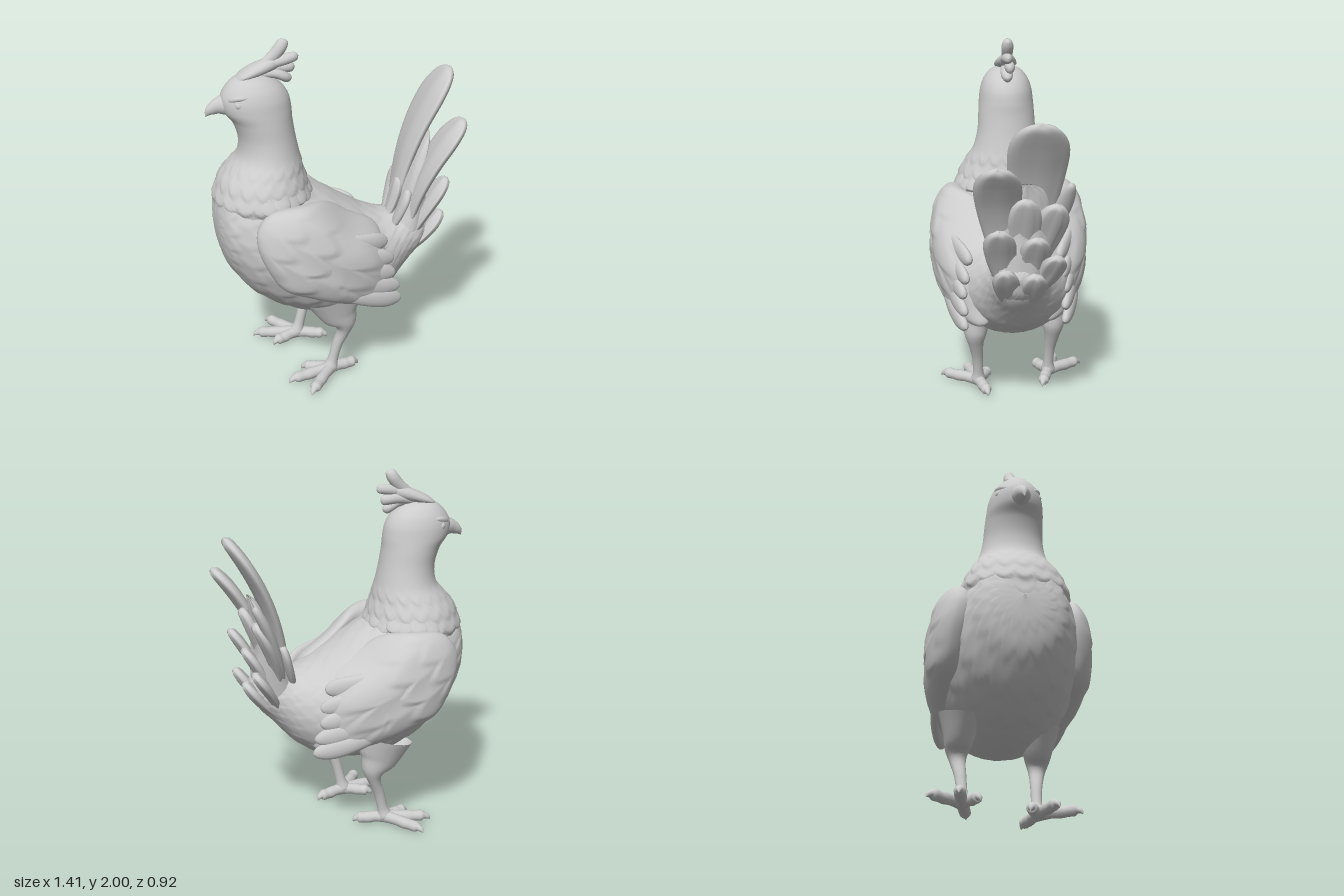
import * as THREE from 'three';

const material = new THREE.MeshStandardMaterial({ color: 0xcccccc, side: THREE.DoubleSide });
const V = (a) => new THREE.Vector3(...a);
const { smoothstep } = THREE.MathUtils;

function makeMesh(name, positions, index) {
  const g = new THREE.BufferGeometry();
  g.setAttribute('position', new THREE.Float32BufferAttribute(positions, 3));
  g.setIndex(index);
  g.computeVertexNormals();
  const mesh = new THREE.Mesh(g, material);
  mesh.name = name;
  return mesh;
}

// Index of a grid of closed rings
function ringIndex(rings, sides) {
  const index = [];
  for (let i = 0; i < rings; i++) {
    for (let j = 0; j < sides; j++) {
      const k = (j + 1) % sides, a = i * sides + j, b = i * sides + k;
      index.push(a, b, a + sides, b, b + sides, a + sides);
    }
  }
  return index;
}

// Smooth skin over elliptical sections [x, y, z, radius along N, radius along S]
function loft(name, rows, { S = [0, 0, 1], N = null, rings = 28, sides = 18, bump = null } = {}) {
  const path = new THREE.CatmullRomCurve3(rows.map((r) => V(r.slice(0, 3))), false, 'catmullrom');
  const size = new THREE.CatmullRomCurve3(rows.map((r) => V([r[3], r[4], 0])), false, 'catmullrom');
  const pos = [];
  for (let i = 0; i <= rings; i++) {
    const t = i / rings, c = path.getPoint(t), r = size.getPoint(t);
    const s = V(S), n = new THREE.Vector3();
    if (N) n.copy(V(N));
    else {
      const T = path.getTangent(t);
      s.addScaledVector(T, -s.dot(T)).normalize();
      n.crossVectors(s, T);
    }
    for (let j = 0; j < sides; j++) {
      const a = (j / sides) * Math.PI * 2;
      const d = n.clone().multiplyScalar(Math.cos(a) * Math.max(r.x, 0.0005))
        .addScaledVector(s, Math.sin(a) * Math.max(r.y, 0.0005));
      const p = c.clone().add(d);
      if (bump) p.addScaledVector(d.normalize(), bump(p, t, a));
      pos.push(p.x, p.y, p.z);
    }
  }
  return makeMesh(name, pos, ringIndex(rings, sides));
}

// Shingled feather relief, 0..1, tips pointing along +u
function shingle(u, v) {
  const q = u - 0.45 * Math.abs(Math.cos(Math.PI * v));
  const f = q - Math.floor(q);
  return f < 0.75 ? f / 0.75 : (1 - f) / 0.25;
}

// Round-ended feather bent through three points
function feather(name, base, mid, tip, width, thick, S = [0, 0, 1]) {
  const curve = new THREE.QuadraticBezierCurve3(V(base), V(mid), V(tip));
  const shape = [[0, 0.4], [0.2, 0.6], [0.4, 0.8], [0.6, 0.95], [0.78, 1], [0.9, 0.8], [0.97, 0.45], [1, 0]];
  const rows = shape.map(([t, w]) => {
    const p = curve.getPoint(t);
    return [p.x, p.y, p.z, thick * Math.sqrt(w), width * w];
  });
  return loft(name, rows, { S, rings: 26, sides: 20, bump: (p, t, a) => 0.006 * Math.sin(a * 6) * Math.sin(t * Math.PI) * (width > 0.06 ? 1 : 0) });
}

// Mirrored copy on the other side, shifted a little
function mirrored(group, name, dx, dz) {
  const copy = new THREE.Group();
  copy.name = name;
  for (const m of group.children) {
    const g = m.geometry.clone().scale(1, 1, -1);
    const ix = g.index.array;
    for (let i = 0; i < ix.length; i += 3) [ix[i], ix[i + 1]] = [ix[i + 1], ix[i]];
    g.translate(dx, 0, dz);
    g.computeVertexNormals();
    const c = new THREE.Mesh(g, material);
    c.name = m.name;
    copy.add(c);
  }
  return copy;
}

function makeWing() {
  const wing = new THREE.Group();
  wing.name = 'frontWing';
  const outline = new THREE.CatmullRomCurve3([
    [-0.495, 1.05], [-0.43, 1.135], [-0.29, 1.165], [-0.13, 1.145], [0.04, 1.03], [0.2, 0.925], [0.225, 0.83], [0.25, 0.7],
    [0.27, 0.6], [0.28, 0.51], [0.15, 0.5], [-0.02, 0.545], [-0.22, 0.63], [-0.37, 0.7], [-0.46, 0.84], [-0.5, 0.96],
  ].map(([x, y]) => V([x, y, 0])), true);
  // Outer surface, its rear upper part folded in over the back
  const outer = (x, y) => 0.45 - 0.5 * (x + 0.25) ** 2 - 0.35 * (y - 0.82) ** 2
    - 3.5 * smoothstep(x, -0.3, 0.1) * Math.max(0, y - 0.84 + 0.5 * x) ** 2;
  const sides = 100, half = 28, pos = [];
  for (let i = 0; i <= half * 2; i++) {
    const s = Math.sin((Math.min(i, 2 * half - i) / half) * Math.PI / 2);
    const back = i > half;
    for (let j = 0; j < sides; j++) {
      const p = outline.getPoint(1 - j / sides);
      const x = -0.12 + s * (p.x + 0.12), y = 0.84 + s * (p.y - 0.84);
      const dome = Math.sqrt(1 - s ** 4);
      const along = x * 0.85 - y * 0.5, across = x * 0.5 + y * 0.85;
      const stretch = x > -0.05 ? 3 : 5;
      const relief = back ? 0 : 0.009 * shingle(along * stretch, across * 8) * dome;
      const z = outer(x, y) - 0.085 + (back ? -0.14 : 0.085) * dome + relief;
      pos.push(x, y, z);
    }
  }
  wing.add(makeMesh('wingCover', pos, ringIndex(half * 2, sides)));
  // Flight feathers along the trailing and lower edge
  const tips = [[0.235, 0.865, 0.24], [0.27, 0.765, 0.26], [0.275, 0.68, 0.275], [0.305, 0.59, 0.27], [0.315, 0.51, 0.27]];
  tips.forEach((tip, i) => {
    const base = [-0.2 + i * 0.01, 0.98 - i * 0.075, 0.36];
    const mid = [0.06, (base[1] + tip[1]) / 2 - 0.015, 0.34 + i * 0.012];
    wing.add(feather('flightFeather', base, mid, tip, 0.055, 0.028, [0, 1, 0]));
  });
  return wing;
}

function makeLeg() {
  const leg = new THREE.Group();
  leg.name = 'frontLeg';
  leg.add(loft('thighAndShank', [
    [-0.06, 0.54, 0.2, 0.17, 0.12], [-0.03, 0.43, 0.205, 0.12, 0.085], [0, 0.36, 0.208, 0.073, 0.065], [-0.002, 0.295, 0.205, 0.038, 0.044],
    [-0.035, 0.2, 0.195, 0.03, 0.032], [-0.06, 0.1, 0.19, 0.03, 0.03], [-0.075, 0.045, 0.19, 0.042, 0.04], [-0.08, 0.012, 0.19, 0.005, 0.005],
  ]));
  const toes = [[-0.33, 0.25], [-0.23, 0.4], [-0.23, 0.12], [0.1, 0.14]];
  for (const [x, z] of toes) {
    const at = (t, y, r) => [-0.075 + t * (x + 0.075), y, 0.19 + t * (z - 0.19), r, r];
    leg.add(loft('toe', [at(0, 0.042, 0.036), at(0.3, 0.042, 0.031), at(0.5, 0.038, 0.033), at(0.65, 0.037, 0.03),
      at(0.8, 0.037, 0.031), at(0.88, 0.035, 0.019), at(0.95, 0.026, 0.013), at(1, 0.01, 0.001)], { S: [0, 1, 0], sides: 12 }));
  }
  return leg;
}

export function createModel() {
  const bird = new THREE.Group();
  bird.name = 'bird';

  // Body: [x, bottom, top, half width]
  const body = [[-0.69, 0.99, 1.02, 0.01], [-0.67, 0.86, 1.14, 0.14], [-0.62, 0.72, 1.24, 0.23], [-0.5, 0.56, 1.28, 0.31],
    [-0.35, 0.455, 1.25, 0.355], [-0.2, 0.4, 1.18, 0.37], [-0.05, 0.38, 1.095, 0.36], [0.1, 0.4, 1.0, 0.33], [0.2, 0.44, 0.95, 0.285],
    [0.3, 0.51, 0.93, 0.215], [0.38, 0.6, 0.94, 0.165], [0.46, 0.69, 0.93, 0.13], [0.52, 0.77, 0.9, 0.07], [0.54, 0.83, 0.86, 0.005]];
  bird.add(loft('body', body.map(([x, b, t, w]) => [x, (b + t) / 2, 0, (t - b) / 2, w]), {
    N: [0, 1, 0], rings: 110, sides: 120,
    bump: (p, t, a) => 0.008 * shingle(t * 13, (a / Math.PI) * 9) * Math.min(1, t * 10) * (p.x > -0.1 ? 0.5 : 1),
  }));

  // Neck and head: [y, front x, back x, half width]
  const neck = [[1.825, -0.48, -0.44, 0.005], [1.805, -0.545, -0.365, 0.075], [1.76, -0.595, -0.3, 0.12], [1.7, -0.625, -0.26, 0.145],
    [1.63, -0.615, -0.245, 0.155], [1.56, -0.565, -0.24, 0.16], [1.46, -0.535, -0.225, 0.168], [1.36, -0.55, -0.205, 0.195], [1.26, -0.63, -0.185, 0.25],
    [1.16, -0.675, -0.155, 0.29], [1.1, -0.68, -0.165, 0.285], [0.95, -0.66, -0.2, 0.24], [0.85, -0.45, -0.4, 0.01]];
  bird.add(loft('neckAndHead', neck.map(([y, f, b, w]) => [(f + b) / 2, y, 0, (b - f) / 2, w]), {
    N: [1, 0, 0], rings: 100, sides: 108,
    bump: (p, t, a) => 0.009 * shingle((1.5 - p.y) * 11, (a / Math.PI) * 9) * smoothstep(1.4 - p.y, 0, 0.14),
  }));

  // Ragged feather edge of the neck cape
  for (let i = -6; i <= 6; i++) {
    const a = i * 0.27, c = Math.cos(a), s = Math.sin(a);
    const at = (y, rx, rz) => [-0.41 + rx * c, y, rz * s];
    const drop = 0.015 * (i & 1);
    bird.add(feather('capeFeather', at(1.3, 0.18, 0.21), at(1.2, 0.22, 0.26), at(1.12 + drop, 0.265, 0.3), 0.055, 0.018, [-s, 0, c]));
  }

  // Beak, eyes and brows
  bird.add(loft('beak', [[-0.55, 1.665, 0, 0.07, 0.08], [-0.61, 1.66, 0, 0.055, 0.055], [-0.65, 1.65, 0, 0.04, 0.035],
    [-0.685, 1.628, 0, 0.025, 0.02], [-0.705, 1.6, 0, 0.002, 0.002]]));
  for (const side of [1, -1]) {
    const eye = new THREE.Mesh(new THREE.SphereGeometry(0.024, 16, 12), material);
    eye.name = 'eye';
    eye.position.set(-0.54, 1.69, side * 0.104);
    bird.add(eye);
    bird.add(loft('brow', [[-0.6, 1.69, side * 0.05, 0.004, 0.004], [-0.57, 1.715, side * 0.08, 0.02, 0.016],
      [-0.52, 1.73, side * 0.107, 0.02, 0.016], [-0.46, 1.73, side * 0.12, 0.004, 0.004]], { S: [0, 1, 0], sides: 10 }));
  }

  // Crest
  const crest = [[[-0.5, 1.8, 0], [-0.31, 1.89, 0], [-0.275, 2.0, 0], 0.034, 0.034], [[-0.5, 1.81, 0.01], [-0.36, 1.88, 0.01], [-0.2, 1.9, 0], 0.034, 0.03],
    [[-0.46, 1.8, -0.01], [-0.34, 1.86, -0.015], [-0.22, 1.83, -0.01], 0.03, 0.03], [[-0.44, 1.8, 0.01], [-0.33, 1.85, 0.01], [-0.245, 1.765, 0], 0.034, 0.028]];
  for (const f of crest) bird.add(feather('crestFeather', ...f));
  bird.add(loft('crestBase', [[-0.55, 1.785, 0, 0.005, 0.02], [-0.5, 1.815, 0, 0.022, 0.06], [-0.42, 1.845, 0, 0.035, 0.06], [-0.33, 1.875, 0, 0.035, 0.038], [-0.28, 1.89, 0, 0.003, 0.003]]));

  // Wings and legs, the back pair set slightly further forward
  const wing = makeWing(), leg = makeLeg();
  bird.add(wing, mirrored(wing, 'backWing', -0.06, 0), leg, mirrored(leg, 'backLeg', -0.11, -0.04));

  // Tail fan: base, bend, tip, half width, half thickness
  const tail = [
    [[0.34, 0.86, -0.04], [0.4, 1.38, -0.1], [0.68, 1.725, -0.095], 0.16, 0.038],
    [[0.4, 0.82, 0.05], [0.44, 1.24, 0.12], [0.7, 1.5, 0.125], 0.125, 0.036],
    [[0.36, 0.8, -0.06], [0.4, 1.1, -0.2], [0.57, 1.39, -0.27], 0.045, 0.028],
    [[0.36, 0.78, -0.04], [0.42, 1.05, -0.15], [0.55, 1.27, -0.2], 0.085, 0.034],
    [[0.4, 0.75, 0], [0.44, 1.05, -0.02], [0.58, 1.31, -0.03], 0.09, 0.034],
    [[0.4, 0.72, 0.04], [0.46, 0.95, 0.11], [0.615, 1.15, 0.11], 0.085, 0.03],
    [[0.4, 0.7, -0.04], [0.45, 0.92, -0.08], [0.59, 1.1, -0.09], 0.08, 0.03],
    [[0.38, 0.7, -0.06], [0.45, 0.85, -0.17], [0.56, 0.99, -0.2], 0.065, 0.028],
    [[0.38, 0.66, 0.03], [0.47, 0.75, 0.07], [0.6, 0.93, 0.08], 0.07, 0.03],
    [[0.36, 0.64, -0.03], [0.47, 0.74, -0.07], [0.585, 0.9, -0.08], 0.07, 0.03],
    [[0.3, 0.84, 0.08], [0.34, 0.95, 0.12], [0.39, 1.1, 0.12], 0.05, 0.025],
    [[0.3, 0.84, -0.08], [0.34, 0.95, -0.14], [0.39, 1.12, -0.17], 0.05, 0.025],
    [[0.28, 0.86, 0], [0.33, 0.95, 0], [0.37, 1.12, -0.02], 0.07, 0.025],
  ];
  for (const f of tail) bird.add(feather('tailFeather', ...f));
  bird.add(loft('tailRoot', [[0.28, 0.66, 0, 0.1, 0.12], [0.38, 0.79, 0, 0.13, 0.145], [0.43, 0.95, -0.015, 0.095, 0.145], [0.45, 1.1, -0.025, 0.068, 0.145],
    [0.475, 1.22, -0.035, 0.048, 0.13], [0.51, 1.32, -0.04, 0.025, 0.1], [0.54, 1.38, -0.04, 0.003, 0.03]], { sides: 36, rings: 44, bump: (p, t, a) => 0.007 * Math.sin(a * 9) * t }));

  return bird;
}
